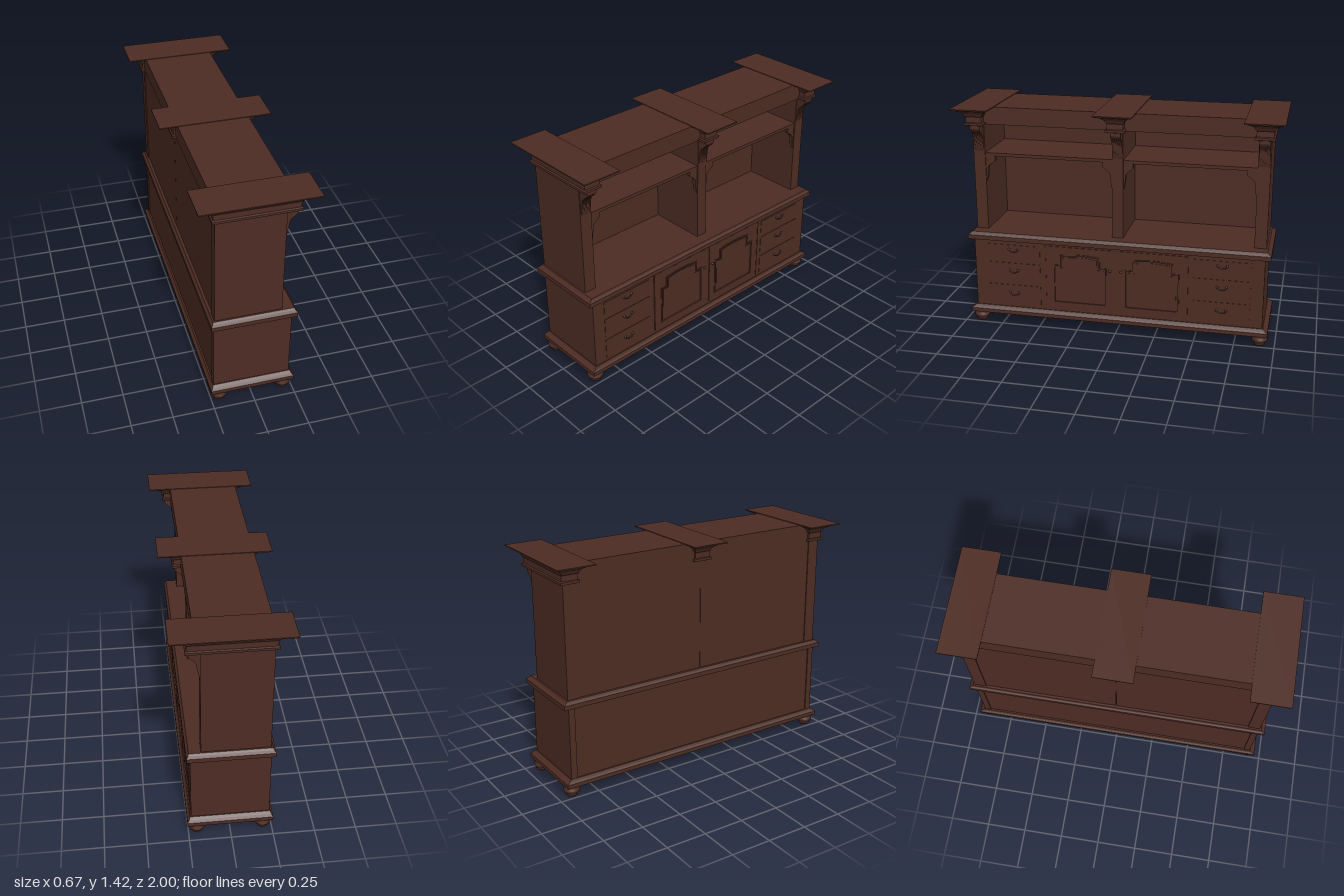
import * as THREE from 'three';

const wood = new THREE.MeshStandardMaterial({ color: 0x4d2c23 });
wood.name = 'dark walnut';

export function createModel() {
  const root = new THREE.Group();
  root.name = 'sideboard';

  const add = (name, geo, x = 0, y = 0, z = 0) => {
    const m = new THREE.Mesh(geo, wood);
    m.name = name;
    m.position.set(x, y, z);
    root.add(m);
    return m;
  };
  // box from its limits
  const box = (name, x0, x1, y0, y1, z0, z1) =>
    add(name, new THREE.BoxGeometry(x1 - x0, y1 - y0, z1 - z0), (x0 + x1) / 2, (y0 + y1) / 2, (z0 + z1) / 2);

  // rectangular rings [y, halfX, halfZ] joined from bottom to top, with end caps
  const rectLoft = (rings) => {
    const pos = [];
    const ring = ([y, a, b]) => [[-a, y, b], [a, y, b], [a, y, -b], [-a, y, -b]];
    const quad = (a, b, c, d) => pos.push(...a, ...b, ...c, ...a, ...c, ...d);
    for (let i = 0; i < rings.length - 1; i++) {
      const lo = ring(rings[i]), hi = ring(rings[i + 1]);
      for (let k = 0; k < 4; k++) {
        const n = (k + 1) % 4;
        quad(lo[k], lo[n], hi[n], hi[k]);
      }
    }
    const b = ring(rings[0]), t = ring(rings[rings.length - 1]);
    quad(b[3], b[2], b[1], b[0]);
    quad(t[0], t[1], t[2], t[3]);
    const g = new THREE.BufferGeometry();
    g.setAttribute('position', new THREE.Float32BufferAttribute(pos, 3));
    g.computeVertexNormals();
    return g;
  };

  // shape drawn in (-z, y), extruded along +x
  const extrudeX = (shape, depth) =>
    new THREE.ExtrudeGeometry(shape, { depth, bevelEnabled: false, curveSegments: 8 }).rotateY(Math.PI / 2);

  // lower cabinet with base and counter mouldings
  add('baseMoulding', rectLoft([[0.07, 0.255, 0.955], [0.095, 0.255, 0.955], [0.105, 0.245, 0.94], [0.118, 0.238, 0.925]]));
  box('lowerBody', -0.228, 0.232, 0.11, 0.58, -0.915, 0.915);
  add('counter', rectLoft([[0.572, 0.255, 0.955], [0.6, 0.255, 0.955], [0.61, 0.245, 0.94], [0.62, 0.24, 0.93]]));

  // bun feet
  const footProfile = [[0, 0], [0.032, 0], [0.038, 0.008], [0.036, 0.016], [0.044, 0.022], [0.05, 0.035],
    [0.049, 0.046], [0.042, 0.054], [0.045, 0.06], [0.043, 0.072], [0, 0.072]].map(p => new THREE.Vector2(...p));
  for (const x of [-0.198, 0.198])
    for (const z of [-0.905, 0.905]) add('foot', new THREE.LatheGeometry(footProfile, 20), x, 0, z);

  // arched panel outline with stepped shoulders, inset by d
  const archPanel = (d, S = THREE.Shape) => {
    const s = new S(), w = 0.172 - d, n = 0.13 - d;
    s.moveTo(-w, 0.175 + d);
    s.lineTo(w, 0.175 + d);
    s.lineTo(w, 0.435 - d);
    s.lineTo(n, 0.435 - d);
    s.lineTo(n, 0.5 - d);
    s.quadraticCurveTo(0, 0.522 - d, -n, 0.5 - d);
    s.lineTo(-n, 0.435 - d);
    s.lineTo(-w, 0.435 - d);
    s.closePath();
    return s;
  };
  const rect = (w, y0, y1) =>
    new THREE.Shape([[-w, y0], [w, y0], [w, y1], [-w, y1]].map(p => new THREE.Vector2(...p)));

  for (const s of [-1, 1]) {
    // end panels, lower and upper
    box('lowerEndPanel', -0.235, 0.232, 0.11, 0.58, s > 0 ? 0.88 : -0.92, s > 0 ? 0.92 : -0.88);
    box('upperEndPanel', -0.23, 0.17, 0.615, 1.32, s > 0 ? 0.845 : -0.92, s > 0 ? 0.92 : -0.845);

    // door: frame, raised moulding and knob
    const frame = rect(0.22, 0.14, 0.555);
    frame.holes.push(archPanel(0, THREE.Path));
    add('doorFrame', extrudeX(frame, 0.006), 0.231, 0, s * 0.23);
    const bead = archPanel(0);
    bead.holes.push(archPanel(0.008, THREE.Path));
    add('doorMoulding', extrudeX(bead, 0.01), 0.231, 0, s * 0.23);
    add('doorPanel', extrudeX(archPanel(0.02), 0.004), 0.231, 0, s * 0.23);
    add('doorKnob', new THREE.SphereGeometry(0.008, 10, 8), 0.242, 0.42, s * 0.035);
    box('stile', 0.23, 0.239, 0.14, 0.55, s * 0.453 - 0.003, s * 0.453 + 0.003);

    // drawers with drop handles
    for (const [y, h] of [[0.5, 0.085], [0.36, 0.12], [0.205, 0.13]]) {
      const front = new THREE.Group();
      box('drawerFront', 0.23, 0.235, y - h / 2, y + h / 2, s * 0.665 - 0.175, s * 0.665 + 0.175);
      const bail = new THREE.TorusGeometry(0.028, 0.004, 6, 12, Math.PI);
      bail.rotateZ(Math.PI).scale(1, 0.6, 1).rotateY(Math.PI / 2);
      add('drawerHandle', bail, 0.241, y + 0.012, s * 0.665);
      for (const k of [-1, 1])
        add('handleMount', new THREE.SphereGeometry(0.008, 8, 6), 0.237, y + 0.013, s * 0.665 + k * 0.029);
    }
  }

  // upper cabinet: divider, back boards, shelves and roof
  box('divider', -0.215, 0.17, 0.615, 1.32, -0.035, 0.035);
  for (const s of [-1, 1]) {
    const z0 = s > 0 ? 0.001 : -0.85, z1 = s > 0 ? 0.85 : -0.001;
    box('backBoard', -0.224, -0.2, 0.615, 1.32, z0, z1);
    box('shelf', -0.205, 0.165, 1.1, 1.12, z0, z1);
  }
  box('roof', -0.23, 0.2, 1.31, 1.419, -0.9, 0.9);

  // curved brackets under the shelves
  for (const [z, dir] of [[0.845, -1], [0.035, 1], [-0.035, -1], [-0.845, 1]]) {
    const b = new THREE.Shape();
    b.moveTo(0, 1.1);
    b.lineTo(-dir * 0.06, 1.1);
    b.lineTo(-dir * 0.06, 1.07);
    b.bezierCurveTo(-dir * 0.045, 1.05, -dir * 0.02, 1.05, -dir * 0.013, 1.02);
    b.quadraticCurveTo(-dir * 0.012, 0.97, 0, 0.93);
    b.closePath();
    add('shelfBracket', extrudeX(b, 0.025), 0.138, 0, z);
  }

  // corbel side profile, pushed out by d
  const corbel = (d, width) => {
    const c = new THREE.Shape();
    c.moveTo(0.165, 1.31);
    c.lineTo(0.235, 1.31);
    c.lineTo(0.235, 1.285);
    c.bezierCurveTo(0.225 + d, 1.25, 0.187 + d, 1.26, 0.184 + d, 1.215);
    c.quadraticCurveTo(0.18, 1.16, 0.17, 1.13);
    c.lineTo(0.165, 1.13);
    c.closePath();
    return new THREE.ExtrudeGeometry(c, { depth: width, bevelEnabled: false, curveSegments: 8 }).translate(0, 0, -width / 2);
  };

  // three flared capitals with fluted corbels
  const capital = [[1.302, 0.232, 0.042], [1.308, 0.25, 0.06], [1.322, 0.25, 0.06], [1.326, 0.242, 0.05], [1.36, 0.242, 0.05],
    [1.368, 0.25, 0.056], [1.378, 0.255, 0.06], [1.39, 0.268, 0.07], [1.402, 0.29, 0.086], [1.414, 0.33, 0.113],
    [1.416, 0.337, 0.1175], [1.423, 0.337, 0.1175]];
  for (const z of [-0.8825, 0, 0.8825]) {
    add('capital', rectLoft(capital), 0, 0, z);
    add('corbel', corbel(0, 0.064), 0, 0, z);
    for (let i = -2; i <= 2; i++) add('corbelRib', corbel(0.005, 0.006), 0, 0, z + i * 0.012);
  }
  return root;
}
